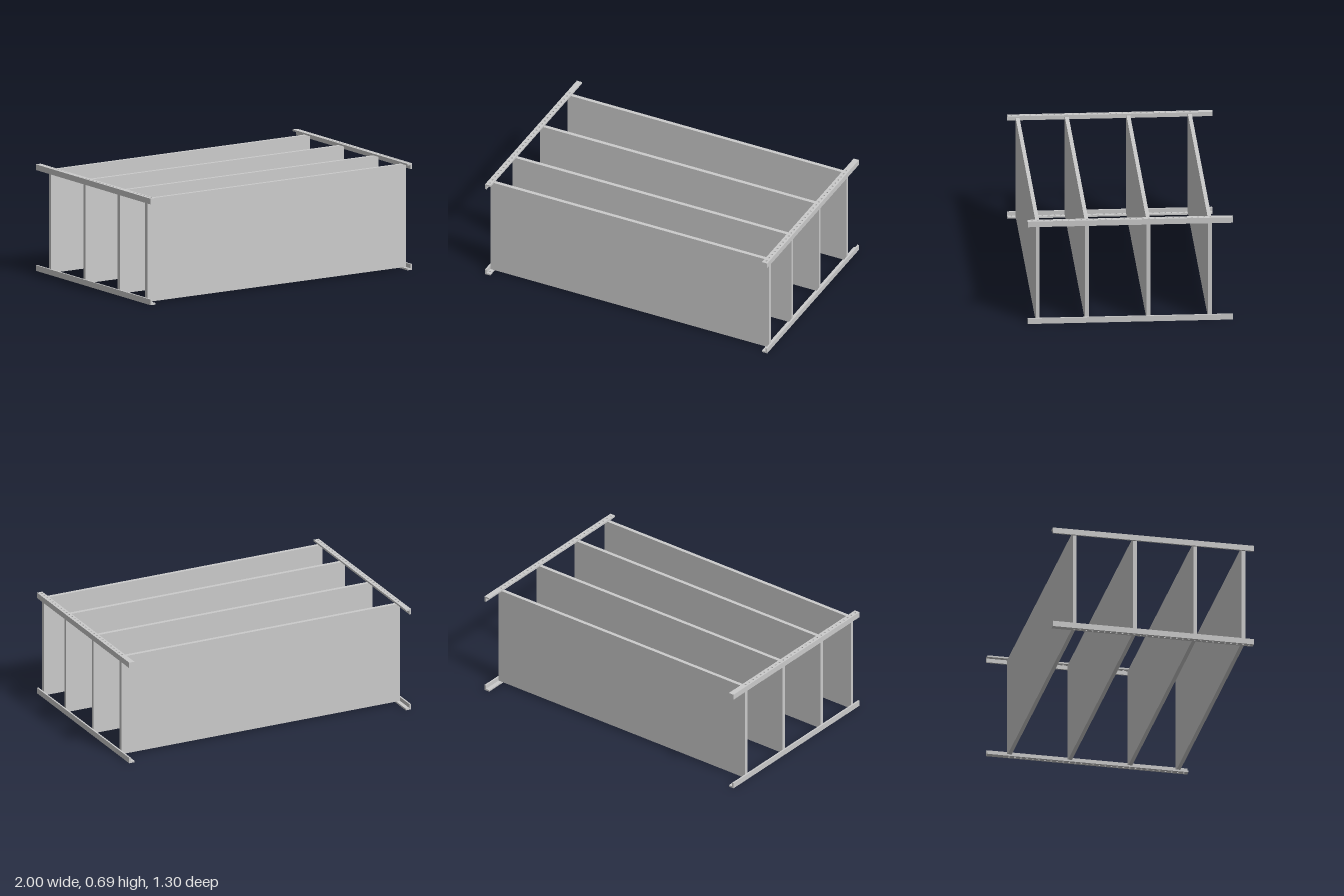
import * as THREE from 'three';

const H = 0.69;       // overall height
const L = 1.304;      // post length along z
const LEG = 0.037;    // width of each angle leg
const T = 0.011;      // sheet thickness
const PITCH = 0.0391; // hole spacing
const HOLE_START = -0.507;
const HOLES = 30;
const SHELF_STEPS = [0, 10, 20, 28]; // hole index of each shelf

export function createModel() {
  const model = new THREE.Group();
  model.name = 'shelvingUnit';
  const mat = new THREE.MeshStandardMaterial({ color: 0xcccccc, flatShading: true });

  const add = (parent, geometry, name, x, y, z) => {
    const mesh = new THREE.Mesh(geometry, mat);
    mesh.name = name;
    mesh.position.set(x, y, z);
    parent.add(mesh);
  };

  // Perforated leg of the angle posts, lying flat with its length along z
  const outline = new THREE.Shape([
    new THREE.Vector2(-LEG / 2, -L / 2), new THREE.Vector2(LEG / 2, -L / 2),
    new THREE.Vector2(LEG / 2, L / 2), new THREE.Vector2(-LEG / 2, L / 2),
  ]);
  for (let i = 0; i < HOLES; i++) {
    const hole = new THREE.Path();
    hole.absarc(0, -(HOLE_START + i * PITCH), 0.007, 0, Math.PI * 2, true);
    outline.holes.push(hole);
  }
  const perforated = new THREE.ExtrudeGeometry(outline, { depth: T, bevelEnabled: false, curveSegments: 12 });
  perforated.translate(0, 0, -T / 2).rotateX(-Math.PI / 2);

  // Plain outer leg
  const plain = new THREE.BoxGeometry(T, LEG - T, L);

  // Four angle posts, open towards the middle
  for (const sx of [-1, 1]) {
    for (const sy of [-1, 1]) {
      const post = new THREE.Group();
      post.name = (sx > 0 ? 'left' : 'right') + (sy > 0 ? 'Upper' : 'Lower') + 'Post';
      add(post, perforated, 'perforatedLeg', sx * (1 - LEG / 2), H / 2 + sy * (H / 2 - T / 2), 0);
      add(post, plain, 'plainLeg', sx * (1 - T / 2), H / 2 + sy * (H / 2 - (T + LEG) / 2), 0);
      model.add(post);
    }
  }

  // Shelf panels fitted between the posts
  const shelf = new THREE.BoxGeometry(2 - 2 * T, H - 2 * T, 0.0245);
  SHELF_STEPS.forEach((step, i) => add(model, shelf, 'shelf' + (i + 1), 0, H / 2, HOLE_START + step * PITCH));

  return model;
}
